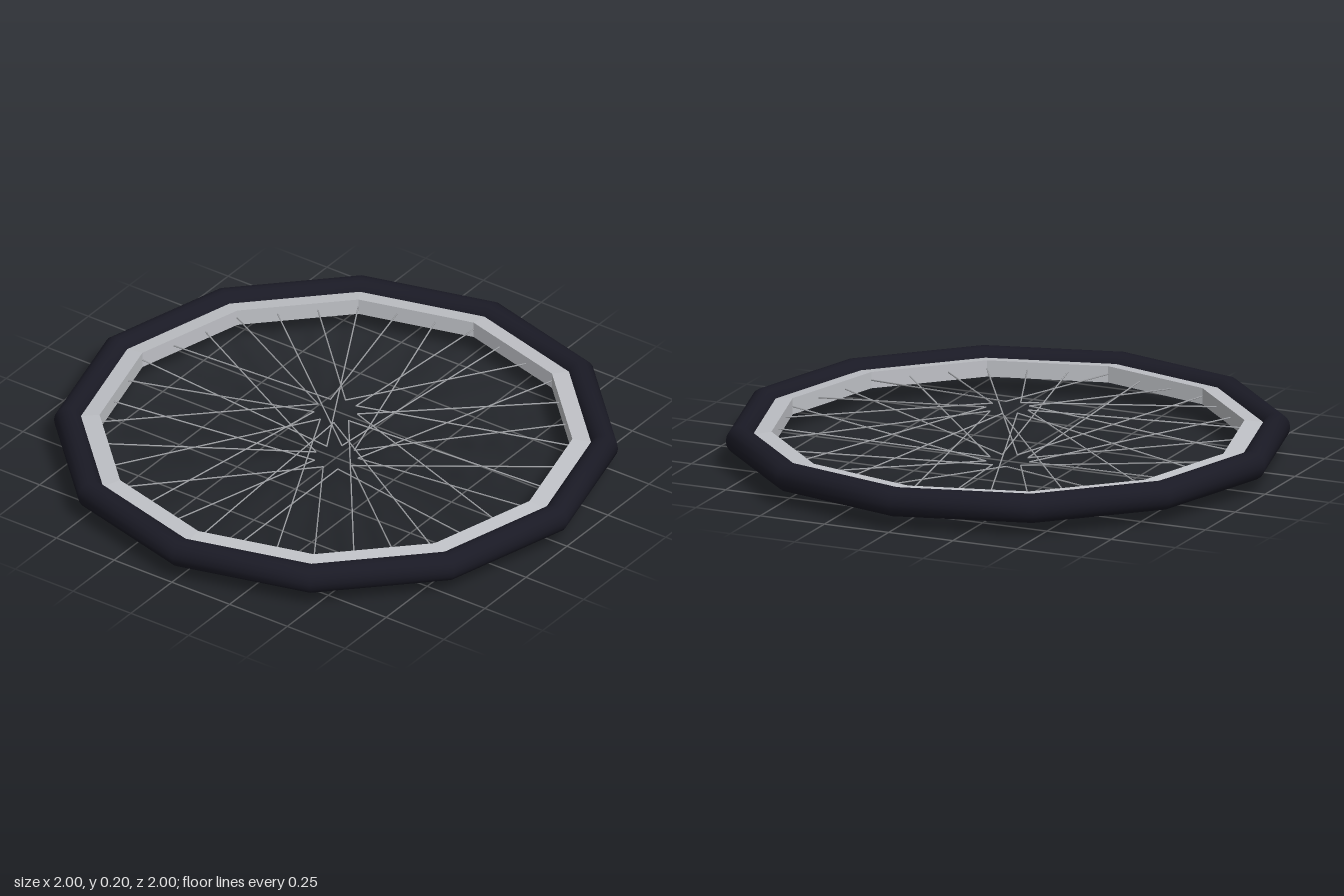
import * as THREE from 'three';

const CENTER_Y = 0.1;
const SIDES = 12;

const tireRubber = new THREE.MeshStandardMaterial({ color: 0x1a1a25 });
tireRubber.name = 'tireRubber';
const rimMetal = new THREE.MeshStandardMaterial({ color: 0xbfc1c6 });
rimMetal.name = 'rimMetal';
rimMetal.flatShading = true;
const spokeSteel = new THREE.MeshStandardMaterial({ color: 0xa2a4a8 });
spokeSteel.name = 'spokeSteel';

// Point on a circle lying flat, angle in degrees
function polar(radius, degrees, y) {
  const a = THREE.MathUtils.degToRad(degrees);
  return new THREE.Vector3(radius * Math.cos(a), y, -radius * Math.sin(a));
}

// Thin rod between two points
function rod(name, from, to, radius) {
  const dir = to.clone().sub(from);
  const mesh = new THREE.Mesh(
    new THREE.CylinderGeometry(radius, radius, dir.length(), 5), spokeSteel);
  mesh.name = name;
  mesh.position.copy(from).add(to).multiplyScalar(0.5);
  mesh.quaternion.setFromUnitVectors(new THREE.Vector3(0, 1, 0), dir.normalize());
  return mesh;
}

export function createModel() {
  const wheel = new THREE.Group();
  wheel.name = 'wheel';

  // Twelve-sided tire, its round section slightly taller than wide
  const tireShape = new THREE.TorusGeometry(0.95, 0.05, 16, SIDES)
    .scale(1, 1, 1.05)
    .rotateX(-Math.PI / 2);
  const tire = new THREE.Mesh(tireShape, tireRubber);
  tire.name = 'tire';
  tire.position.y = CENTER_Y;
  wheel.add(tire);

  // Rim band tucked into the tire, its faces sloping gently outward
  const section = [[0.838, -0.03], [0.93, -0.017], [0.93, 0.017], [0.838, 0.03], [0.838, -0.03]]
    .map(([x, y]) => new THREE.Vector2(x, y));
  const rim = new THREE.Mesh(new THREE.LatheGeometry(section, SIDES), rimMetal);
  rim.name = 'rim';
  rim.position.y = CENTER_Y;
  wheel.add(rim);

  // Crossed spokes: three per rim edge, alternating upper and lower,
  // meeting in pairs at nine points on each side of the open hub
  const spokes = new THREE.Group();
  spokes.name = 'spokes';
  for (let i = 0; i < 36; i++) {
    const edge = Math.floor(i / 3) * 30;
    const outer = polar(0.84, edge, CENTER_Y)
      .lerp(polar(0.84, edge + 30, CENTER_Y), (i % 3) / 3);
    const upper = i % 2 === 0;
    const lean = Math.floor(i / 2) % 2 === 0 ? -30 : 30;
    const inner = polar(0.078, i * 10 + lean, CENTER_Y + (upper ? 0.097 : -0.097));
    spokes.add(rod(upper ? 'upperSpoke' : 'lowerSpoke', outer, inner, 0.0028));
  }
  wheel.add(spokes);

  return wheel;
}
